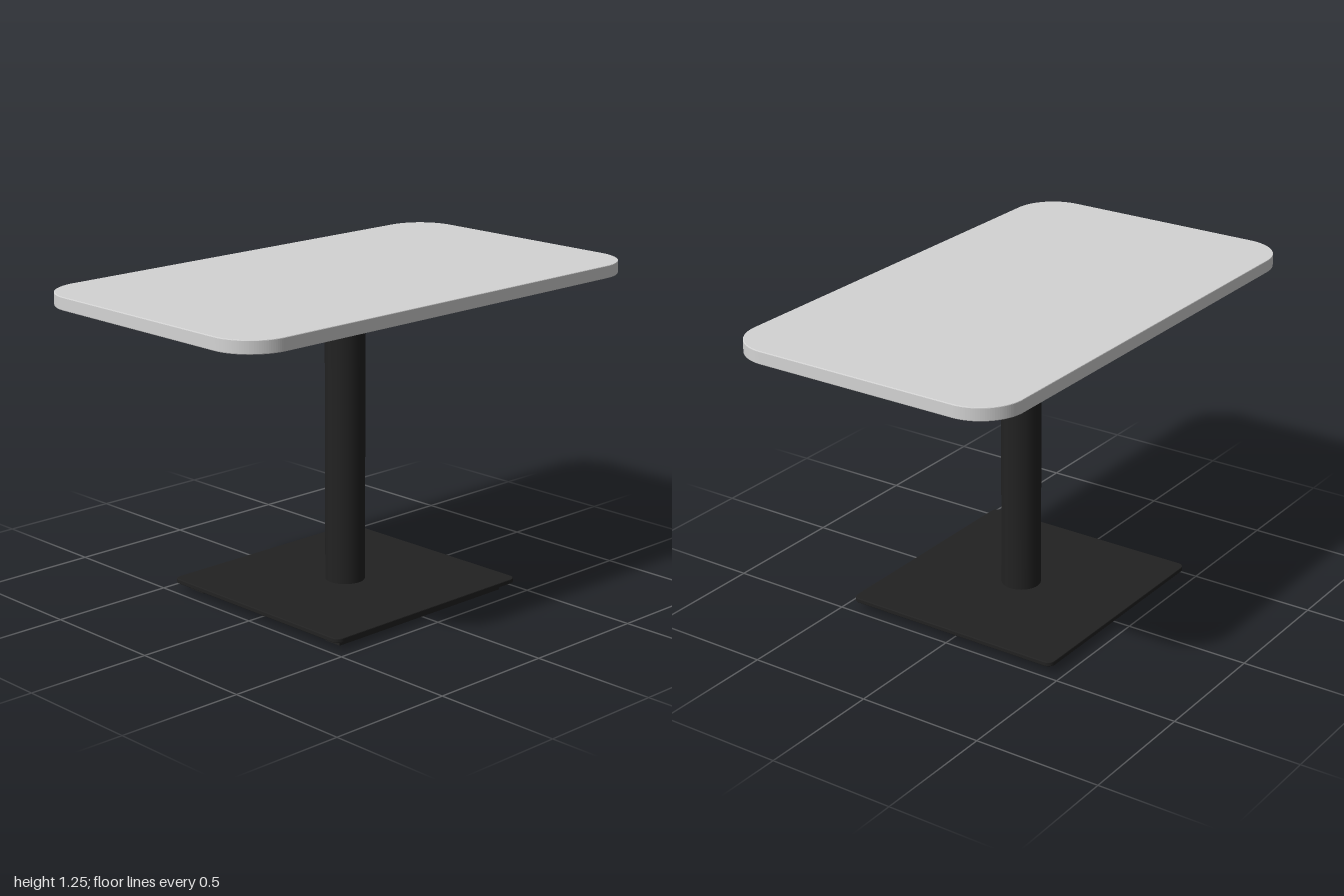
import * as THREE from 'three';

const topMat = new THREE.MeshStandardMaterial({ color: 0xd4d4d4 });
topMat.name = 'light grey top';
const blackMat = new THREE.MeshStandardMaterial({ color: 0x222222 });
blackMat.name = 'black metal';

// Flat rounded rectangle lying in xz, from y0 to y1, with a small edge bevel
function roundedSlab(halfX, halfZ, radius, y0, y1, bevel) {
  const x = halfX - bevel, z = halfZ - bevel, r = radius - bevel;
  const s = new THREE.Shape();
  s.absarc(x - r, z - r, r, 0, Math.PI / 2);
  s.absarc(-x + r, z - r, r, Math.PI / 2, Math.PI);
  s.absarc(-x + r, -z + r, r, Math.PI, Math.PI * 1.5);
  s.absarc(x - r, -z + r, r, Math.PI * 1.5, Math.PI * 2);
  s.closePath();
  const g = new THREE.ExtrudeGeometry(s, {
    depth: y1 - y0 - 2 * bevel, bevelEnabled: true, bevelSize: bevel,
    bevelThickness: bevel, bevelSegments: 2, curveSegments: 16,
  });
  g.rotateX(-Math.PI / 2);
  g.translate(0, y0 + bevel, 0);
  return g;
}

export function createModel() {
  const model = new THREE.Group();
  model.name = 'pedestalTable';
  const add = (name, geometry, material) => {
    const mesh = new THREE.Mesh(geometry, material);
    mesh.name = name;
    model.add(mesh);
    return mesh;
  };

  add('tableTop', roundedSlab(1, 0.58, 0.17, 1.2, 1.25, 0.003), topMat);
  add('basePlate', roundedSlab(0.48, 0.46, 0.03, 0.03, 0.048, 0.003), blackMat);

  // Column with a wider, chamfered collar under the top
  const profile = [[0.077, 0.04], [0.077, 1.172], [0.083, 1.172], [0.087, 1.178], [0.087, 1.19], [0.09, 1.192], [0.09, 1.2]];
  for (let i = 0; i < profile.length - 1; i++) {
    const [r0, y0] = profile[i], [r1, y1] = profile[i + 1];
    const pts = [new THREE.Vector2(r0, y0), new THREE.Vector2(r1, y1)];
    add(i === 0 ? 'column' : 'collar' + i, new THREE.LatheGeometry(pts, 40), blackMat);
  }

  // Frame under the base: straight rails front and back, tapered rails at the sides
  const taper = new THREE.Shape([[-0.34, 0.032], [-0.24, 0.008], [0.24, 0.008], [0.34, 0.032]]
    .map(([z, y]) => new THREE.Vector2(z, y)));
  for (const side of [1, -1]) {
    const rail = add(side > 0 ? 'frontFootRail' : 'backFootRail', new THREE.BoxGeometry(0.86, 0.032, 0.075), blackMat);
    rail.position.set(0, 0.016, side * 0.38);
    const g = new THREE.ExtrudeGeometry(taper, { depth: 0.06, bevelEnabled: false });
    g.translate(0, 0, -0.03);
    g.rotateY(Math.PI / 2);
    const brace = add(side > 0 ? 'leftFootRail' : 'rightFootRail', g, blackMat);
    brace.position.x = side * 0.39;
  }
  return model;
}
